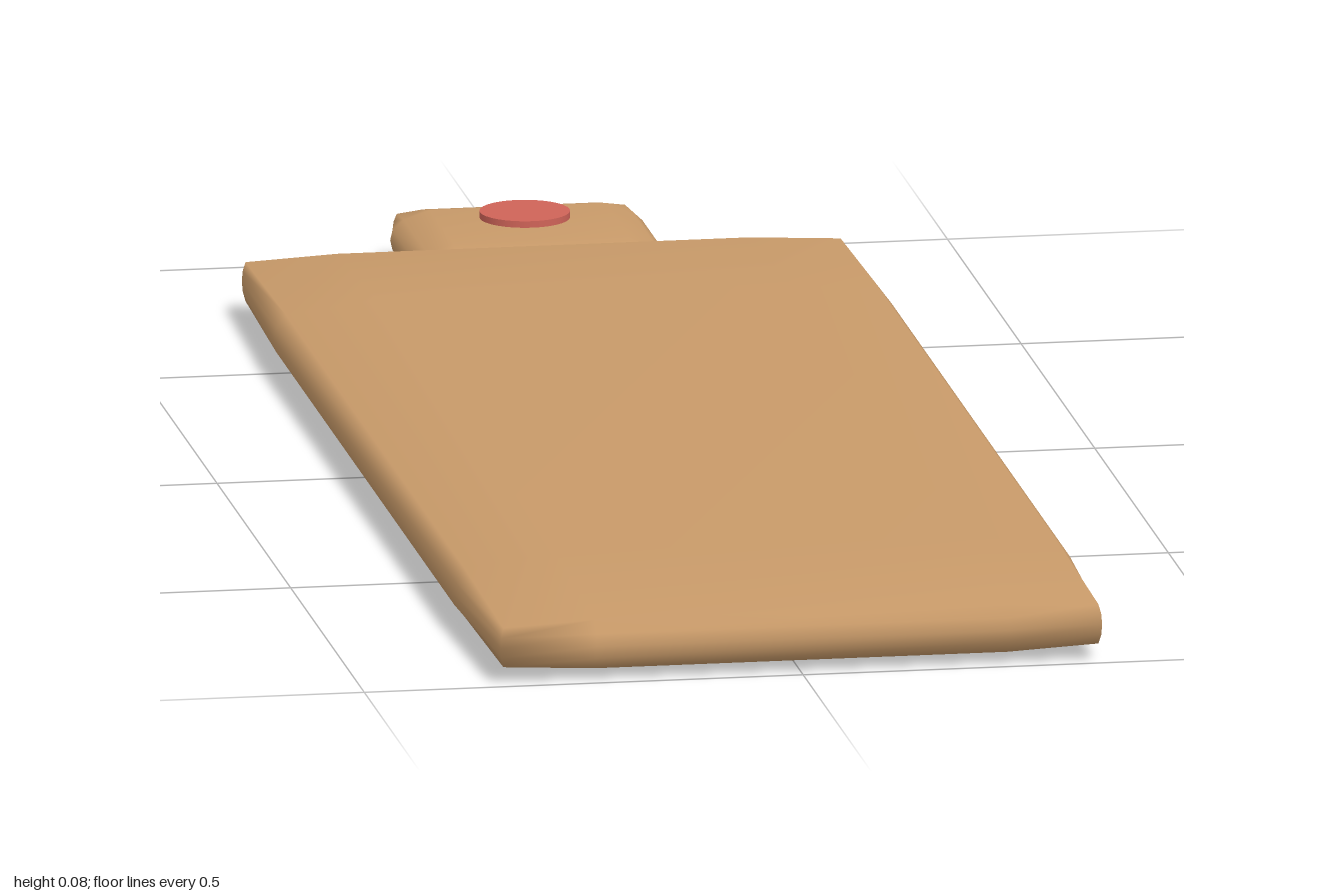
import * as THREE from 'three';
import { mergeVertices } from 'three/addons/utils/BufferGeometryUtils.js';

const wood = new THREE.MeshStandardMaterial({ color: 0xc89a69 });
wood.name = 'tan wood';
const red = new THREE.MeshStandardMaterial({ color: 0xcf6358 });
red.name = 'muted red';

// Pillow-shaped slab: a 3 x 4 x 3 box whose grid is moved to the given stops.
// The rim is thinner than the middle and its sides bulge outward.
function softSlab(xs, zs, yMid, half, drop, bulge) {
  const box = new THREE.BoxGeometry(3, 4, 3, 3, 4, 3);
  box.deleteAttribute('normal');
  box.deleteAttribute('uv');
  const geo = mergeVertices(box);
  const p = geo.attributes.position;
  for (let n = 0; n < p.count; n++) {
    const i = Math.round(p.getX(n) + 1.5);
    const k = Math.round(p.getZ(n) + 1.5);
    const t = p.getY(n) / 2;
    const rimX = i === 0 || i === 3;
    const rimZ = k === 0 || k === 3;
    let x = xs[i], z = zs[k], h = half;
    if (rimX && rimZ) h -= drop * 1.4;
    else if (rimX || rimZ) h -= drop;
    const out = bulge * (1 - Math.pow(Math.abs(t), 2.5));
    if (rimX && !rimZ) x += Math.sign(i - 1.5) * out;
    if (rimZ && !rimX) z += Math.sign(k - 1.5) * out;
    if (rimX && rimZ) {
      x += Math.sign(i - 1.5) * out * 0.25;
      z += Math.sign(k - 1.5) * out * 0.25;
    }
    p.setXYZ(n, x, yMid + h * t, z);
  }
  geo.computeVertexNormals();
  return geo;
}

export function createModel() {
  const group = new THREE.Group();
  const add = (name, geo, mat) => {
    const mesh = new THREE.Mesh(geo, mat);
    mesh.name = name;
    group.add(mesh);
    return mesh;
  };

  // Long flat board
  add('board', softSlab([-0.339, -0.235, 0.235, 0.339], [-0.766, -0.49, 0.72, 0.985],
    0.0415, 0.0415, 0.0135, 0.014), wood);

  // Short tab at the back
  add('tab', softSlab([-0.13, -0.1, 0.1, 0.13], [-0.985, -0.94, -0.78, -0.735],
    0.0395, 0.033, 0.01, 0.015), wood);

  // Round button on the tab
  const button = add('button', new THREE.CylinderGeometry(0.051, 0.051, 0.016, 32), red);
  button.position.set(0, 0.072, -0.89);

  return group;
}
